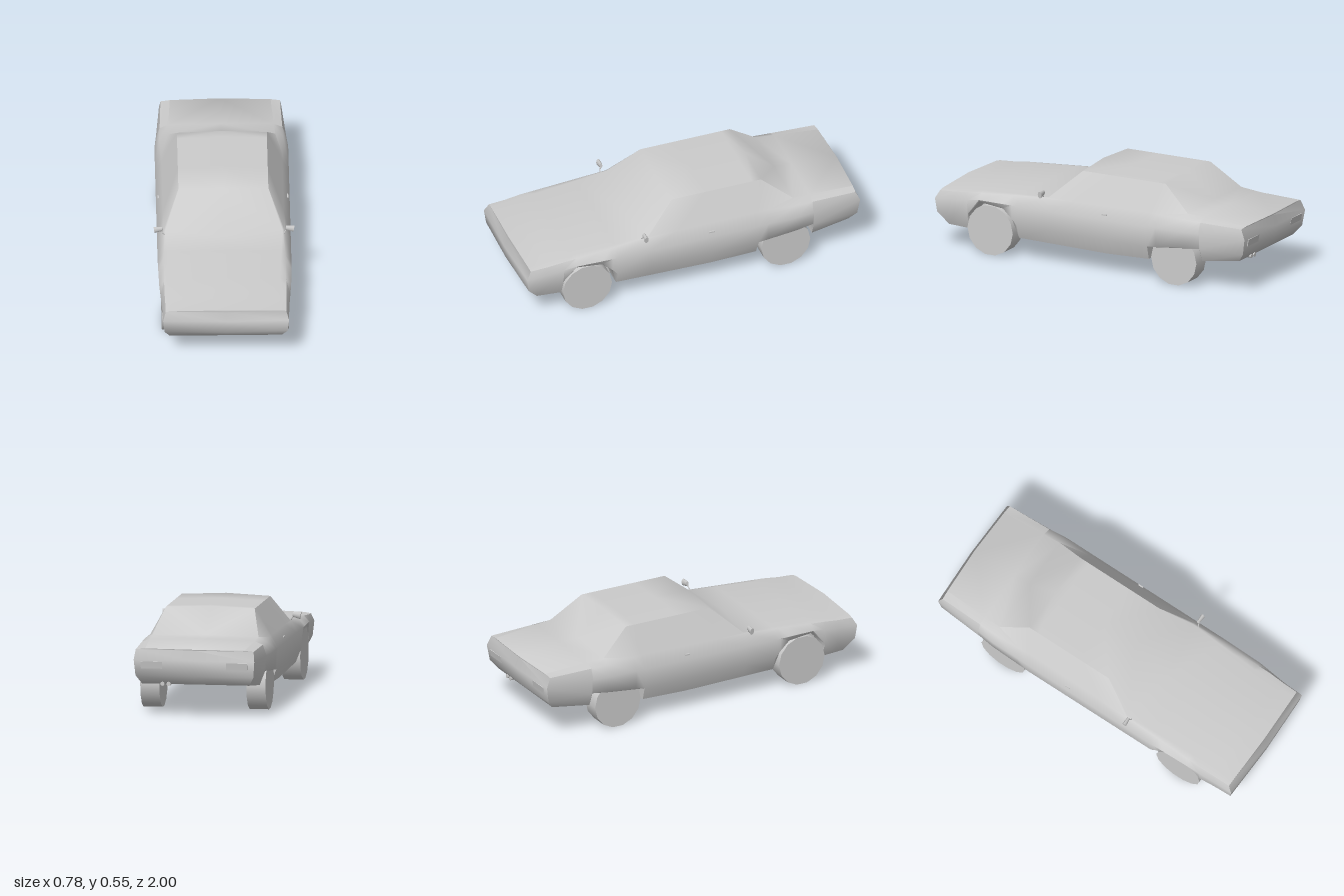
import * as THREE from 'three';
import { toCreasedNormals } from 'three/addons/utils/BufferGeometryUtils.js';

const grey = new THREE.MeshStandardMaterial({ color: 0xcccccc });

function add(parent, name, geometry, x = 0, y = 0, z = 0) {
  const mesh = new THREE.Mesh(geometry, grey);
  mesh.name = name;
  mesh.position.set(x, y, z);
  parent.add(mesh);
  return mesh;
}

// Straight-line guide through [z, ...values] points, listed front to back
function guide(...points) {
  return z => {
    const i = Math.max(1, points.findIndex(p => p[0] <= z));
    const a = points[i - 1], b = points[i];
    const t = (z - a[0]) / (b[0] - a[0]);
    return a.slice(1).map((v, k) => v + (b[k + 1] - v) * t);
  };
}

// Lines running along the body: [z, x, y] unless noted
const floorLine = guide([0.92, 0.13], [-0.1, 0.115], [-0.43, 0.125], [-0.93, 0.185]); // y
const waistLine = guide([0.92, 0.35, 0.28], [0.7, 0.367, 0.315], [0.46, 0.372, 0.315], [-0.6, 0.372, 0.322], [-0.93, 0.34, 0.325]);
const beltLine = guide([0.92, 0.335, 0.325], [0.78, 0.34, 0.342], [0.27, 0.335, 0.383], [-0.37, 0.335, 0.392], [-0.6, 0.345, 0.386], [-0.93, 0.332, 0.38]);
const topLine = guide([0.92, 0.3, 0.331], [0.78, 0.3, 0.349], [0.27, 0.325, 0.385], [0.09, 0.25, 0.543], [-0.43, 0.25, 0.546], [-0.6, 0.3, 0.411], [-0.93, 0.28, 0.386]);
const crownRise = guide([0.92, 0.009], [0.46, 0.006], [0.27, -0.005], [0.09, 0.01], [-0.43, 0.01], [-0.93, 0.004]); // y
const frontArch = guide([0.775, 0.22], [0.7, 0.3], [0.55, 0.285], [0.49, 0.23]); // y
const rearArch = guide([-0.375, 0.2], [-0.7, 0.237]); // y

// Cross-section ring of the shell: floor centre, up the left side, over the top, down the right.
// ends: z shift of sill, waist and top, which rounds off nose and tail
function section(z, bow = 0, ends = [0, 0, 0]) {
  const [floorY] = floorLine(z), [waistX, waistY] = waistLine(z), [topX, topY] = topLine(z);
  const arch = z <= 0.775 && z >= 0.49 ? frontArch : z <= -0.375 && z >= -0.7 ? rearArch : null;
  const edgeY = arch ? arch(z)[0] : floorY;
  const edgeX = arch ? waistX - 0.013 : waistX - 0.038;
  const sillY = Math.max(z < -0.7 ? 0.235 : 0.2, edgeY + 0.004);
  const point = (x, y, shift) => new THREE.Vector3(x, y, z + shift + bow * (1 - Math.min(1, (x / 0.34) ** 2)));
  const half = [
    new THREE.Vector3(0.24, floorY, z), new THREE.Vector3(0.24, edgeY, z), new THREE.Vector3(edgeX, edgeY, z),
    point(waistX - 0.008, sillY, ends[0]), point(waistX, waistY, ends[1]),
    point(...beltLine(z), ends[2]), point(topX, topY, ends[2]),
  ];
  const mirrored = half.map(p => new THREE.Vector3(-p.x, p.y, p.z)).reverse();
  return [new THREE.Vector3(0, floorY, z), ...half, point(0, topY + crownRise(z)[0], ends[2]), ...mirrored];
}

function bodyGeometry() {
  const rings = [
    section(0.92, 0.01, [0.06, 0.07, 0.045]),
    // hood and front wheel wells
    ...[0.87, 0.78, 0.775, 0.7, 0.55, 0.49, 0.46].map(z => section(z)),
    // windscreen base and top
    section(0.27, 0.06), section(0.09, 0.02),
    // cabin, rear wheel wells and deck
    ...[-0.1, -0.37, -0.375, -0.43, -0.6, -0.7, -0.705].map(z => section(z)),
    section(-0.93, -0.01, [-0.04, -0.055, -0.03]),
  ];
  const pos = [];
  const tri = (a, b, c) => {
    const area = b.clone().sub(a).cross(c.clone().sub(a)).length();
    if (area > 1e-8) for (const p of [a, b, c]) pos.push(p.x, p.y, p.z);
  };
  const quad = (a, b, c, d) => { tri(a, b, c); tri(a, c, d); };
  const n = rings[0].length;
  for (let i = 0; i + 1 < rings.length; i++) {
    for (let j = 0; j < n; j++) {
      const k = (j + 1) % n, r = rings[i], s = rings[i + 1];
      // mirrored diagonals keep both sides alike
      if (j < n / 2) quad(r[j], s[j], s[k], r[k]);
      else quad(s[j], s[k], r[k], r[j]);
    }
  }
  // nose and tail faces: horizontal strips with a bowed centre line
  const cap = (ring, bow, front) => {
    const centre = j => new THREE.Vector3(0, ring[j].y, ring[j].z + (j > 3 && j < 8 ? bow : 0));
    for (let j = 3; j < 8; j++) {
      const l0 = ring[j], l1 = ring[j + 1], r0 = ring[n - j], r1 = ring[n - j - 1];
      const c0 = centre(j), c1 = centre(j + 1);
      if (front) { quad(l0, l1, c1, c0); quad(c0, c1, r1, r0); }
      else { quad(c0, c1, l1, l0); quad(r0, r1, c1, c0); }
    }
  };
  cap(rings[0], 0.01, true);
  cap(rings[rings.length - 1], -0.01, false);
  const g = new THREE.BufferGeometry();
  g.setAttribute('position', new THREE.Float32BufferAttribute(pos, 3));
  return toCreasedNormals(g, 0.85);
}

// Door mirror: tapered pod on a thin stalk
function doorMirror(side) {
  const group = new THREE.Group();
  group.name = side > 0 ? 'leftMirror' : 'rightMirror';
  const pod = add(group, 'mirrorPod', new THREE.CylinderGeometry(0.014, 0.021, 0.045, 8), side * 0.366, 0.411, 0.298);
  pod.rotation.z = side * (Math.PI / 2 - 0.15);
  pod.scale.z = 0.6;
  const path = new THREE.LineCurve3(new THREE.Vector3(side * 0.325, 0.375, 0.31), new THREE.Vector3(side * 0.35, 0.405, 0.3));
  add(group, 'mirrorStalk', new THREE.TubeGeometry(path, 1, 0.003, 5));
  return group;
}

export function createModel() {
  const car = new THREE.Group();
  car.name = 'car';
  add(car, 'body', bodyGeometry());

  const wheelShape = new THREE.CylinderGeometry(0.145, 0.145, 0.108, 14).rotateZ(Math.PI / 2);
  for (const side of [1, -1]) {
    const label = side > 0 ? 'left' : 'right';
    add(car, label + 'FrontWheel', wheelShape, side * 0.299, 0.145, 0.635);
    add(car, label + 'RearWheel', wheelShape, side * 0.299, 0.145, -0.54);
    car.add(doorMirror(side));
    add(car, label + 'DoorHandle', new THREE.BoxGeometry(0.012, 0.008, 0.03), side * 0.358, 0.345, -0.1);
    const lamp = add(car, label + 'TailLamp', new THREE.BoxGeometry(0.12, 0.04, 0.02), side * 0.24, 0.298, -0.976);
    lamp.rotation.x = -0.18;
  }

  // twin exhaust on the left
  for (const x of [0.15, 0.185]) {
    const pipe = add(car, 'exhaustPipe', new THREE.CylinderGeometry(0.012, 0.012, 0.07, 8), x, 0.187, -0.91);
    pipe.rotation.x = Math.PI / 2;
  }
  return car;
}
